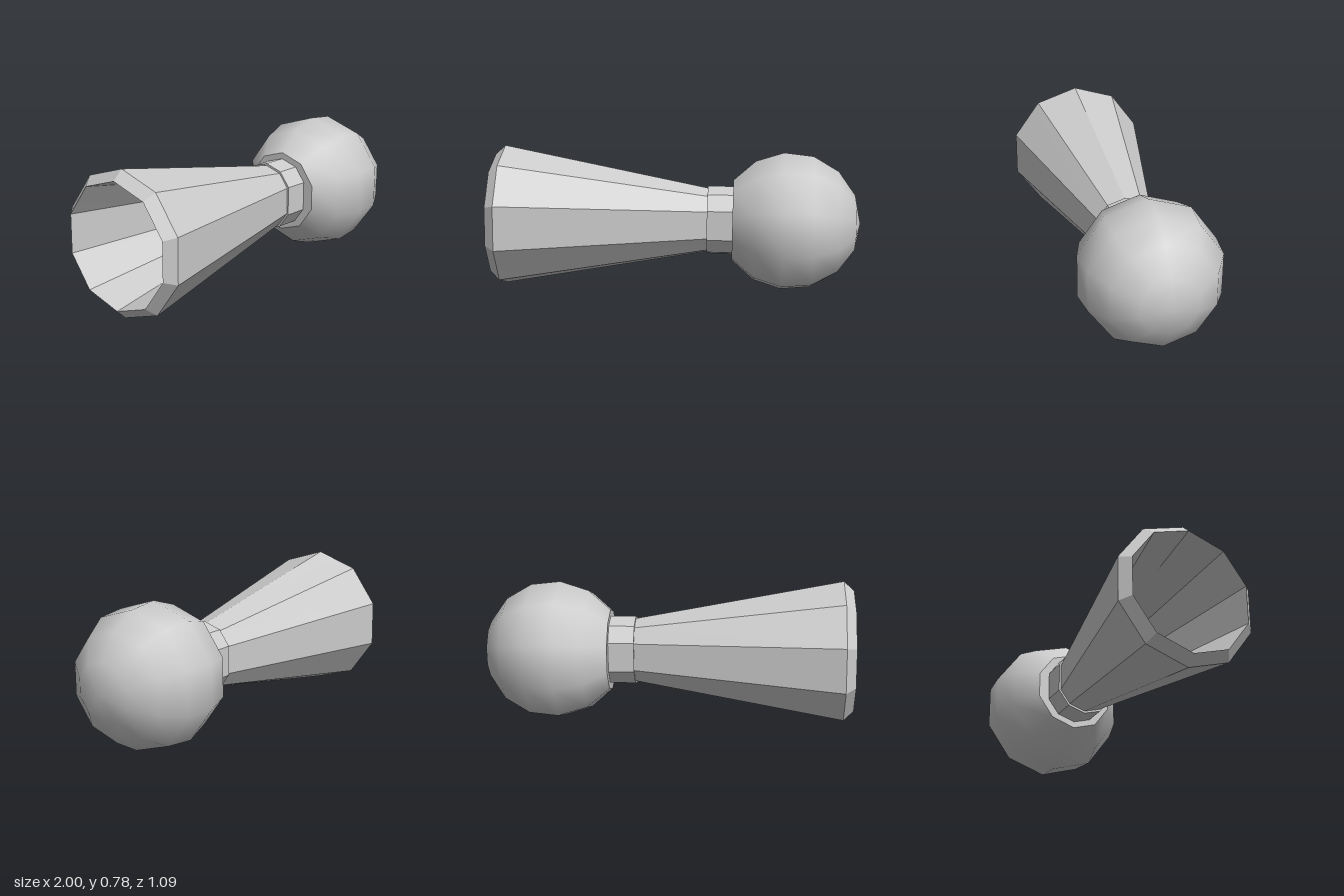
import * as THREE from 'three';
import { toCreasedNormals } from 'three/addons/utils/BufferGeometryUtils.js';

const SIDES = 10;

// Ten-sided ring of [height, width] pairs, one vertex at the top
function ring(r) {
  return Array.from({ length: SIDES }, (_, i) => {
    const a = (i / SIDES) * Math.PI * 2;
    return [r * Math.cos(a), r * Math.sin(a)];
  });
}

// Slightly oval ring for the neck, narrower than it is tall
function neckRing(k) {
  const q = [[0.175, 0], [0.147, 0.09], [0.073, 0.145]];
  const half = [...q, [-q[2][0], q[2][1]], [-q[1][0], q[1][1]], [-q[0][0], 0]];
  const other = half.slice(1, 5).reverse().map(([h, w]) => [h, -w]);
  return [...half, ...other].map(([h, w]) => [h * k, w * k]);
}

// Skin over sections [distance along the axis, ring], axis running to -x
function loft(name, sections, crease) {
  const pos = [], index = [];
  for (const [s, pts] of sections) for (const [h, w] of pts) pos.push(-s, h, w);
  for (let i = 0; i < sections.length - 1; i++) {
    for (let j = 0; j < SIDES; j++) {
      const a = i * SIDES + j, b = i * SIDES + ((j + 1) % SIDES);
      const c = a + SIDES, d = b + SIDES;
      index.push(a, c, b, b, c, d);
    }
  }
  const geo = new THREE.BufferGeometry();
  geo.setAttribute('position', new THREE.Float32BufferAttribute(pos, 3));
  geo.setIndex(index);
  const mesh = new THREE.Mesh(
    toCreasedNormals(geo, crease),
    new THREE.MeshStandardMaterial({ color: 0xcccccc })
  );
  mesh.name = name;
  return mesh;
}

export function createModel() {
  const model = new THREE.Group();
  const body = new THREE.Group();
  body.name = 'body';

  // Faceted ball, cut flat where the collar meets it
  const R = 0.379, steps = 6, ball = [];
  for (let i = 0; i <= steps; i++) {
    const a = (i / steps) * THREE.MathUtils.degToRad(144);
    ball.push([-R * Math.cos(a), ring(R * Math.sin(a))]);
  }
  ball.push([R * Math.cos(Math.PI / 5), ring(0)]);
  body.add(loft('ball', ball, 0.75));

  // Collar between ball and horn
  body.add(loft('collar', [
    [0.29, neckRing(1.07)],
    [0.443, neckRing(1.07)],
    [0.443, neckRing(0)],
  ], 0.3));

  // Flared horn with a bevelled lip and a hollow inside
  body.add(loft('horn', [
    [0.44, neckRing(1)],
    [1.546, ring(0.384)],
    [1.6, ring(0.333)],
    [0.52, neckRing(0.8)],
    [0.52, neckRing(0)],
  ], 0.2));

  body.position.set(0.63, 0.378, -0.19);
  body.rotation.set(0, 0.245, -0.012);
  model.add(body);
  return model;
}
